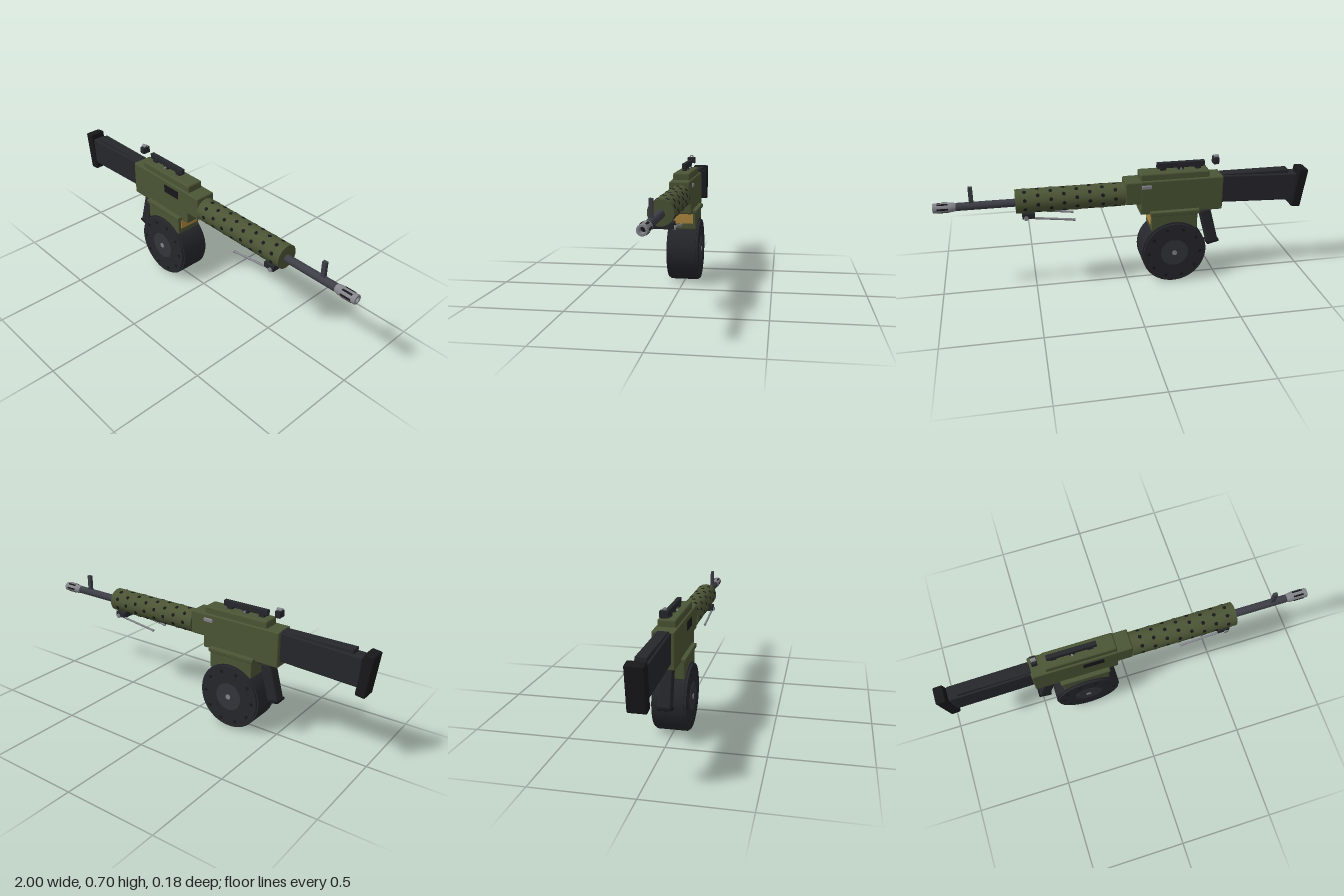
import * as THREE from 'three';
import { RoundedBoxGeometry } from 'three/addons/geometries/RoundedBoxGeometry.js';

const mat = (color) => new THREE.MeshStandardMaterial({ color });
const olive = mat(0x4b5535), dark = mat(0x26272c), black = mat(0x18181b);
const steel = mat(0x3d3e46), silver = mat(0x85868c), brass = mat(0xb08840), hubGrey = mat(0x34353b);

export function createModel() {
  const root = new THREE.Group();
  root.name = 'drumFedGun';

  const add = (name, geometry, material, x = 0, y = 0, z = 0, parent = root) => {
    const mesh = new THREE.Mesh(geometry, material);
    mesh.name = name;
    mesh.position.set(x, y, z);
    parent.add(mesh);
    return mesh;
  };
  // Box given by its x and y ranges and full depth, optionally rounded
  const block = (name, material, x0, x1, y0, y1, depth, r = 0, z = 0) => {
    const size = [x1 - x0, y1 - y0, depth];
    const geometry = r ? new RoundedBoxGeometry(...size, 2, r) : new THREE.BoxGeometry(...size);
    return add(name, geometry, material, (x0 + x1) / 2, (y0 + y1) / 2, z);
  };
  const cylX = (r, len, seg = 24) => new THREE.CylinderGeometry(r, r, len, seg).rotateZ(Math.PI / 2);
  const cylZ = (r, len, seg = 24) => new THREE.CylinderGeometry(r, r, len, seg).rotateX(Math.PI / 2);

  // Receiver
  block('receiver', olive, -0.515, -0.065, 0.405, 0.595, 0.114, 0.008);
  block('receiverFront', olive, -0.09, 0.015, 0.467, 0.593, 0.112, 0.008);
  block('topCover', olive, -0.44, -0.065, 0.58, 0.632, 0.094, 0.01);
  block('ejectionPort', black, -0.25, -0.14, 0.525, 0.57, 0.01, 0, 0.055);
  block('chargingHandle', silver, -0.125, -0.07, 0.552, 0.573, 0.014, 0.004, -0.056);

  // Carry handle on two cross pins
  block('carryHandle', dark, -0.42, -0.16, 0.644, 0.675, 0.024, 0.004);
  for (const x of [-0.385, -0.29, -0.195]) {
    block('handleFoot', dark, x - 0.015, x + 0.015, 0.625, 0.65, 0.022);
  }
  add('handlePin', cylZ(0.005, 0.044, 10), silver, -0.29, 0.64);

  // Rear sight
  block('rearSight', dark, -0.496, -0.466, 0.652, 0.688, 0.044, 0.003);
  add('rearSightRing', new THREE.TorusGeometry(0.0075, 0.003, 8, 20).rotateY(Math.PI / 2), silver, -0.481, 0.69);
  add('rearSightTube', new THREE.CylinderGeometry(0.01, 0.01, 0.028, 20, 1, true).rotateZ(Math.PI / 2),
    new THREE.MeshStandardMaterial({ color: 0x85868c, side: THREE.DoubleSide }), -0.481, 0.69);
  for (const s of [-1, 1]) add('sightKnob', cylX(0.004, 0.012, 8), silver, -0.481, 0.641 + 0.014, s * 0.018);

  // Stock, cheek rest and butt pad
  const stock = block('stock', dark, -0.935, -0.505, 0.428, 0.582, 0.076, 0.008);
  stock.rotation.z = 0.04;
  block('cheekRest', dark, -0.89, -0.51, 0.55, 0.597, 0.056, 0.005);
  const pad = block('buttPad', black, -0.985, -0.932, 0.378, 0.598, 0.09, 0.008);
  pad.rotation.z = 0.13;

  // Grip and trigger
  const grip = new THREE.Group();
  grip.name = 'grip';
  grip.position.set(-0.457, 0.292, 0);
  grip.rotation.z = -0.26;
  root.add(grip);
  add('gripBody', new RoundedBoxGeometry(0.06, 0.2, 0.064, 2, 0.008), dark, 0, 0.006, 0, grip);
  add('gripCap', new RoundedBoxGeometry(0.07, 0.014, 0.07, 2, 0.004), black, 0, -0.098, 0, grip);
  const trigger = block('trigger', steel, -0.397, -0.387, 0.365, 0.41, 0.014);
  trigger.rotation.z = 0.2;
  block('triggerGuard', dark, -0.42, -0.37, 0.374, 0.381, 0.02);

  // Magazine well with the feed window
  block('magazineWell', olive, -0.375, -0.122, 0.312, 0.415, 0.144, 0.005);
  block('wellFlange', olive, -0.385, -0.115, 0.4, 0.424, 0.162, 0.006);
  block('feedCartridges', brass, -0.16, -0.118, 0.345, 0.4, 0.114);

  // Drum magazine
  const drum = new THREE.Group();
  drum.name = 'drumMagazine';
  drum.position.set(-0.25, 0.179, 0);
  root.add(drum);
  add('drumBody', cylZ(0.178, 0.152, 48), dark, 0, 0, 0, drum);
  add('drumCaps', cylZ(0.17, 0.174, 48), dark, 0, 0, 0, drum);
  add('drumHubs', cylZ(0.075, 0.178, 32), hubGrey, 0, 0, 0, drum);
  add('drumAxle', cylZ(0.014, 0.184, 16), silver, 0, 0, 0, drum);
  for (let i = 0; i < 10; i++) {
    const a = i * Math.PI / 5;
    add('drumRivet', cylZ(0.009, 0.18, 10), black, 0.142 * Math.cos(a), 0.142 * Math.sin(a), 0, drum);
  }

  // Perforated handguard: staggered rings of dark holes
  const guard = new THREE.Group();
  guard.name = 'handguard';
  guard.position.set(0, 0.513, 0);
  root.add(guard);
  add('guardTube', cylX(0.063, 0.57, 32), olive, 0.3, 0, 0, guard);
  for (let ring = 0; ring < 8; ring++) {
    for (let i = 0; i < 8; i++) {
      const a = (i + (ring % 2) / 2) * Math.PI / 4;
      const hole = add('ventHole', new THREE.CylinderGeometry(0.01, 0.01, 0.006, 10), black,
        0.068 + ring * 0.067, 0.061 * Math.cos(a), 0.061 * Math.sin(a), guard);
      hole.rotation.x = a;
    }
  }

  // Barrel, front sight and slotted muzzle
  const axis = 0.507;
  add('barrel', cylX(0.021, 0.35, 24), steel, 0.74, axis);
  block('frontSight', steel, 0.795, 0.817, 0.52, 0.61, 0.018);
  const profile = [[0.021, 0.885], [0.025, 0.905], [0.025, 0.905], [0.025, 0.997], [0.025, 0.997], [0.023, 1],
    [0.023, 1], [0.014, 1], [0.014, 1], [0.014, 0.95]].map(([r, x]) => new THREE.Vector2(r, x));
  const muzzle = add('muzzle', new THREE.LatheGeometry(profile, 24).rotateZ(-Math.PI / 2), silver, 0, axis);
  muzzle.material = new THREE.MeshStandardMaterial({ color: 0x85868c, side: THREE.DoubleSide });
  add('bore', cylX(0.0145, 0.01, 20), black, 0.952, axis);
  for (let i = 0; i < 6; i++) {
    const a = i * Math.PI / 3 + Math.PI / 2;
    const slot = add('muzzleSlot', new THREE.BoxGeometry(0.055, 0.004, 0.009), black,
      0.95, axis + 0.0245 * Math.cos(a), 0.0245 * Math.sin(a));
    slot.rotation.x = a;
  }

  // Folded bipod
  block('bipodMount', dark, 0.49, 0.555, 0.432, 0.464, 0.112, 0.004);
  for (const s of [-1, 1]) {
    add('bipodPivot', cylZ(0.012, 0.018, 14), silver, 0.535, 0.438, s * 0.053);
    const path = new THREE.LineCurve3(new THREE.Vector3(0.54, 0.44, s * 0.05), new THREE.Vector3(0.285, 0.408, s * 0.05));
    add('bipodLeg', new THREE.TubeGeometry(path, 1, 0.006, 10), silver);
    const foot = add('bipodFoot', cylX(0.007, 0.012, 10), silver, 0.287, 0.408, s * 0.05);
    foot.rotation.z = 0.125;
  }
  return root;
}
